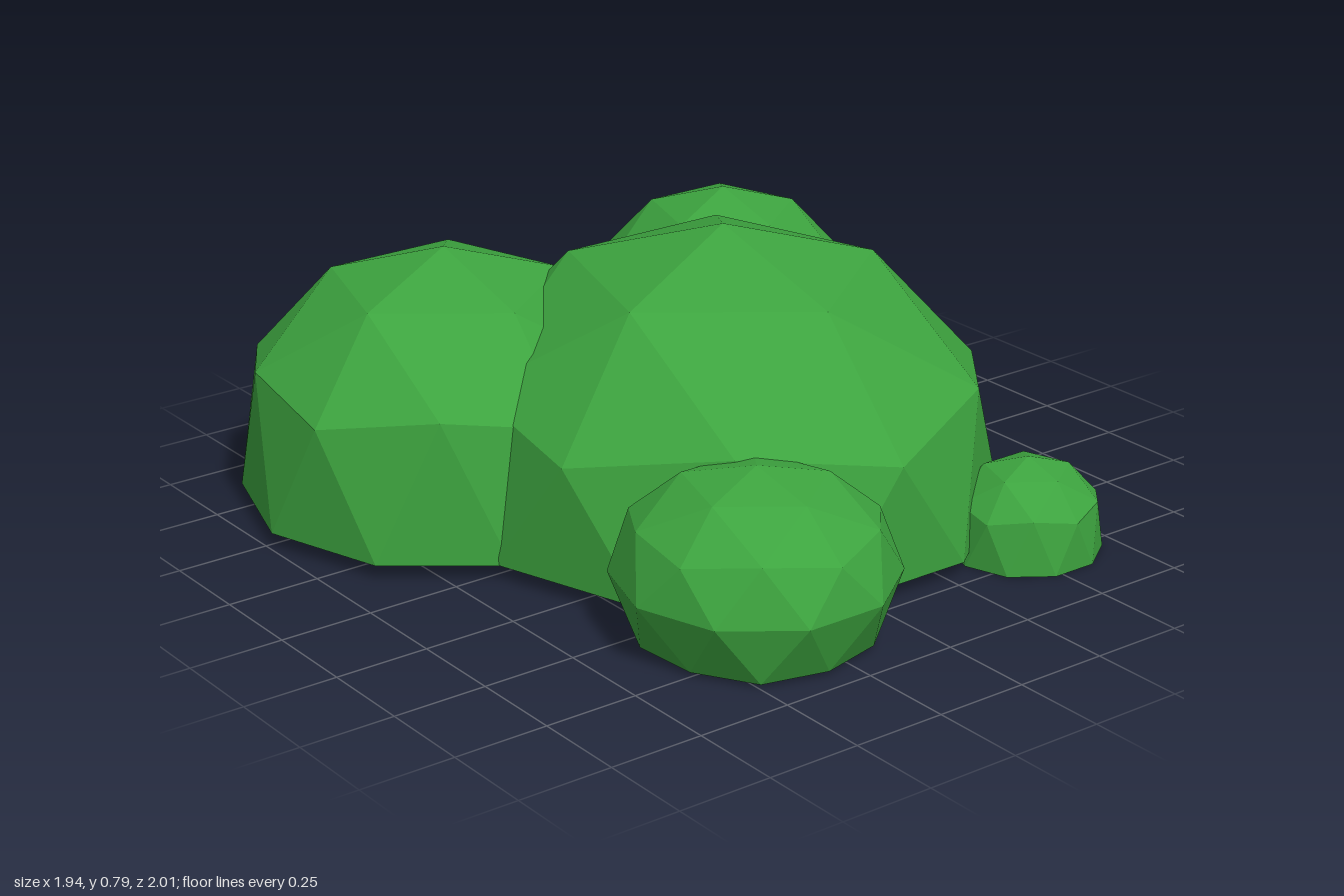
import * as THREE from 'three';

const leaf = new THREE.MeshStandardMaterial({ color: 0x3da43f, flatShading: true });

// Faceted ball with a vertex on top; everything near the ground is pressed flat.
function makeLobe({ name, centre, radii, base }) {
  const geo = new THREE.IcosahedronGeometry(1, 1);
  geo.rotateX(-Math.atan2(1 + Math.sqrt(5), 2));
  const pos = geo.attributes.position;
  for (let i = 0; i < pos.count; i++) {
    let x = pos.getX(i) * radii[0];
    let y = pos.getY(i) * radii[1] + centre[1];
    let z = pos.getZ(i) * radii[2];
    if (y < base + 0.07) {
      y = base;
      x *= 0.92;
      z *= 0.92;
    }
    pos.setXYZ(i, x + centre[0], y, z + centre[2]);
  }
  geo.computeVertexNormals();
  const mesh = new THREE.Mesh(geo, leaf);
  mesh.name = name;
  return mesh;
}

export function createModel() {
  const bush = new THREE.Group();
  bush.name = 'bush';
  const lobes = [
    { name: 'mainLobe', centre: [0.07, 0.01, 0.02], radii: [0.78, 0.78, 0.8], base: 0.04 },
    { name: 'backRightLobe', centre: [-0.45, 0.1, -0.48], radii: [0.59, 0.6, 0.61], base: 0.04 },
    { name: 'backLeftLobe', centre: [0.56, 0.24, -0.61], radii: [0.39, 0.39, 0.4], base: 0.03 },
    { name: 'frontRightLobe', centre: [-0.325, 0.17, 0.66], radii: [0.355, 0.27, 0.358], base: 0.01 },
    { name: 'frontLeftLobe', centre: [0.54, 0.03, 0.675], radii: [0.22, 0.22, 0.21], base: 0 },
  ];
  for (const lobe of lobes) bush.add(makeLobe(lobe));
  return bush;
}
